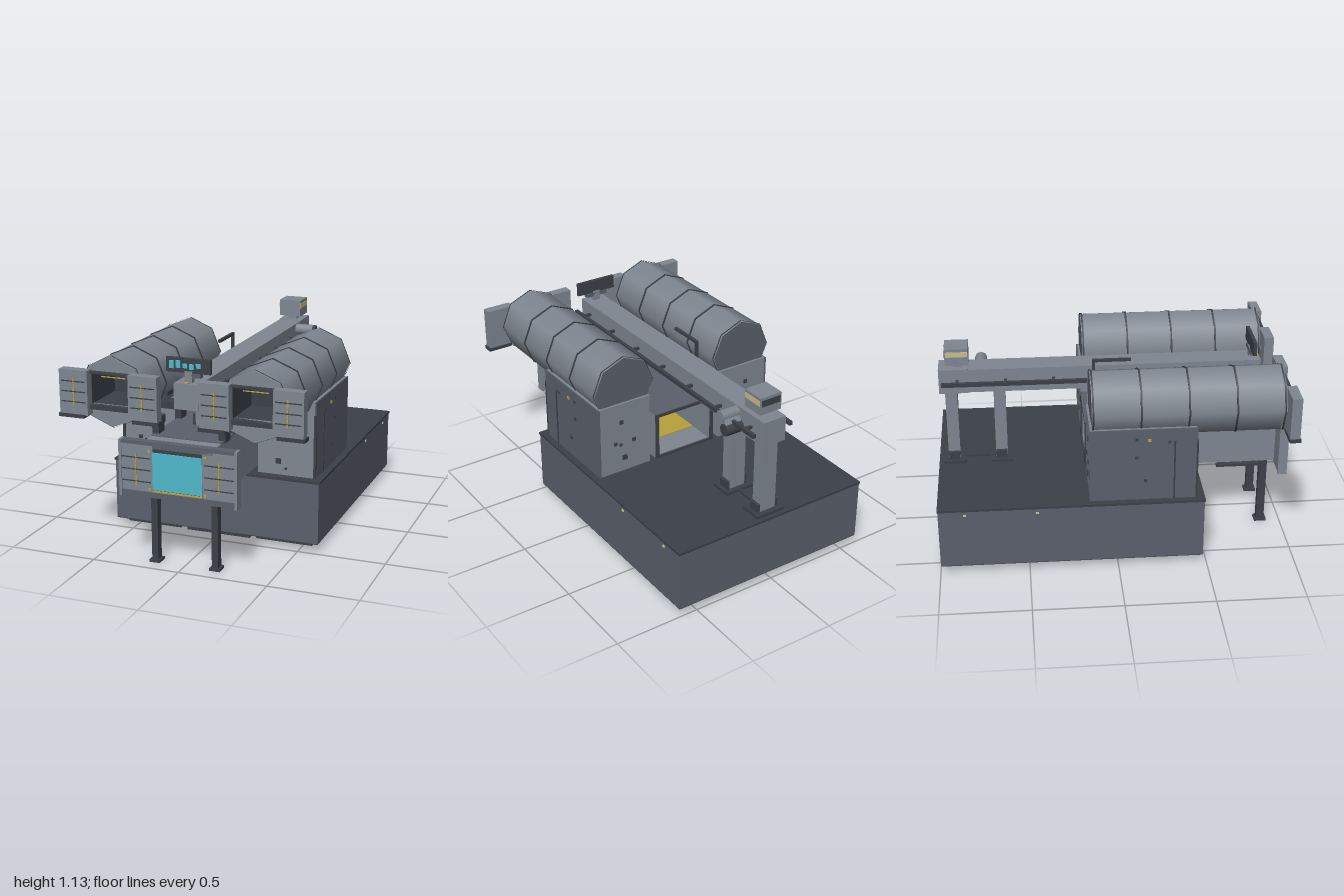
import * as THREE from 'three';

const mat = (name, color) => {
  const m = new THREE.MeshStandardMaterial({ color, side: THREE.DoubleSide });
  m.name = name;
  return m;
};

export function createModel() {
  const light = mat('light steel', 0x7f8791);
  const mid = mat('blue grey', 0x5a606c);
  const dark = mat('dark steel', 0x3c4148);
  const cyan = mat('cyan glow', 0x4fbacb);
  const yellow = mat('hazard yellow', 0xb9a23b);
  const cream = mat('lamp cream', 0xcbbf8c);

  const model = new THREE.Group();
  model.name = 'processingStation';

  const add = (parent, name, geo, m) => {
    const mesh = new THREE.Mesh(geo, m);
    mesh.name = name;
    parent.add(mesh);
    return mesh;
  };
  // Box given by its limits on each axis
  const box = (parent, name, m, x0, x1, y0, y1, z0, z1) => {
    const mesh = add(parent, name, new THREE.BoxGeometry(x1 - x0, y1 - y0, z1 - z0), m);
    mesh.position.set((x0 + x1) / 2, (y0 + y1) / 2, (z0 + z1) / 2);
    return mesh;
  };
  const group = (name) => {
    const g = new THREE.Group();
    g.name = name;
    model.add(g);
    return g;
  };
  // Rectangular or polygonal outline with a rectangular hole, extruded along z
  const frame = (parent, name, m, outline, x0, x1, y0, y1, z0, z1) => {
    const s = new THREE.Shape(outline.map(([x, y]) => new THREE.Vector2(x, y)));
    s.holes.push(new THREE.Path([[x0, y0], [x0, y1], [x1, y1], [x1, y0]].map(([x, y]) => new THREE.Vector2(x, y))));
    const mesh = add(parent, name, new THREE.ExtrudeGeometry(s, { depth: z1 - z0, bevelEnabled: false }), m);
    mesh.position.z = z0;
    return mesh;
  };
  // Door leaf with horizontal grooves and a dashed hazard line
  const door = (parent, x0, x1, y0, y1, z0, z1, dashX) => {
    box(parent, 'doorLeaf', light, x0, x1, y0, y1, z0, z1);
    const h = y1 - y0;
    for (const t of [0.29, 0.52, 0.75]) {
      box(parent, 'doorGroove', dark, x0 + 0.012, x1 - 0.012, y0 + h * t - 0.003, y0 + h * t + 0.003, z1, z1 + 0.003);
    }
    for (let i = 0; i < 6; i++) {
      const y = y0 + h * (0.22 + i * 0.106);
      box(parent, 'doorDash', yellow, dashX - 0.004, dashX + 0.004, y, y + h * 0.075, z1, z1 + 0.005);
    }
  };

  // Base block
  const base = group('base');
  box(base, 'baseBlock', mid, -0.61, 0.61, 0.05, 0.4, -0.997, 0.48);
  box(base, 'baseDeck', dark, -0.615, 0.615, 0.398, 0.411, -1, 0.485);
  box(base, 'baseUnderside', dark, -0.608, 0.608, 0.045, 0.05, -0.995, 0.478);
  box(base, 'centreSkid', dark, -0.19, 0.19, 0.01, 0.045, -0.16, 0.43);
  for (const s of [-1, 1]) {
    const x = s * 0.395;
    box(base, 'sideSkid', dark, x - 0.165, x + 0.165, 0.015, 0.04, -0.16, 0.43);
    box(base, 'sideSkidPad', dark, x - 0.12, x + 0.12, 0.003, 0.046, 0.15, 0.28);
    for (const z of [-0.26, -0.73]) {
      box(base, 'foot', dark, x - 0.1, x + 0.1, 0.004, 0.035, z - 0.06, z + 0.06);
      box(base, 'footNeck', dark, x - 0.07, x + 0.07, 0.03, 0.046, z - 0.04, z + 0.04);
    }
    for (const z of [-0.85, -0.45]) {
      box(base, 'baseMarker', cream, s * 0.612 - 0.004, s * 0.612 + 0.004, 0.368, 0.378, z - 0.008, z + 0.008);
    }
  }

  // Pedestals, tanks and tank doors
  const spots = [[0.43, 0.67, 0.012], [0.47, 0.54, 0.01], [0.435, 0.525, 0.008], [0.35, 0.535, 0.011], [0.41, 0.437, 0.015]];
  const spotsB = [[0.405, 0.665, 0.008], [0.455, 0.63, 0.008], [0.36, 0.49, 0.015], [0.405, 0.45, 0.006]];
  const sideSpots = [[0.17, 0.78, yellow], [0.28, 0.765, dark], [0.1, 0.785, dark], [0.1, 0.675, dark], [0.15, 0.53, dark]];
  for (const s of [-1, 1]) {
    const ped = group(s > 0 ? 'leftPedestal' : 'rightPedestal');
    const pa = Math.min(s * 0.24, s * 0.57), pb = Math.max(s * 0.24, s * 0.57);
    box(ped, 'pedestalBlock', light, pa, pb, 0.41, 0.845, -0.155, 0.43);
    box(ped, 'pedestalSide', mid, s * 0.573 - 0.004, s * 0.573 + 0.004, 0.41, 0.845, -0.16, 0.435);
    box(ped, 'pedestalSeam', dark, s * 0.578 - 0.004, s * 0.578 + 0.004, 0.41, 0.77, 0.306, 0.314);
    box(ped, 'pedestalEdge', dark, s * 0.572 - 0.007, s * 0.572 + 0.007, 0.41, 0.77, 0.43, 0.44);
    for (const [z, y, m] of sideSpots) {
      box(ped, 'sidePort', m, s * 0.577 - 0.004, s * 0.577 + 0.004, y - 0.008, y + 0.008, z - 0.009, z + 0.009);
    }
    for (const [x, y, r] of s < 0 ? spots : spotsB) box(ped, 'frontPort', dark, s * x - r, s * x + r, y - r, y + r, 0.43, 0.436);
    for (const [x, y, r] of spots) box(ped, 'rearPort', dark, s * x - r, s * x + r, y + 0.06 - r, y + 0.06 + r, -0.161, -0.155);

    const tank = group(s > 0 ? 'leftTank' : 'rightTank');
    tank.position.set(s * 0.4, 0.93, 0);
    const shell = add(tank, 'tankShell', new THREE.CylinderGeometry(0.19, 0.19, 1.05, 8, 1, true), light);
    shell.rotation.x = Math.PI / 2;
    shell.position.z = 0.38;
    const rear = add(tank, 'tankRearCap', new THREE.CircleGeometry(0.19, 8, Math.PI / 2), mid);
    rear.rotation.y = Math.PI;
    rear.position.z = -0.142;
    for (let i = 0; i < 5; i++) {
      const hoop = add(tank, 'tankHoop', new THREE.CylinderGeometry(0.195, 0.195, 0.01, 8), dark);
      if (i === 4) hoop.geometry = new THREE.CylinderGeometry(0.195, 0.195, 0.01, 8, 1, true);
      hoop.rotation.x = Math.PI / 2;
      hoop.position.z = -0.136 + i * 0.2605;
      if (i === 0) hoop.geometry = new THREE.CylinderGeometry(0.195, 0.195, 0.01, 8, 1, true);
    }
    const oct = Array.from({ length: 8 }, (_, i) => [0.19 * Math.cos(i * Math.PI / 4), 0.19 * Math.sin(i * Math.PI / 4)]);
    frame(tank, 'tankMouth', light, oct, -0.118, 0.118, -0.07, 0.1, 0.895, 0.915);
    // Dark chamber seen through the mouth
    box(tank, 'chamberBack', dark, -0.118, 0.118, -0.09, 0.1, 0.645, 0.65);
    frame(tank, 'chamberWalls', dark, [[-0.122, -0.094], [0.122, -0.094], [0.122, 0.104], [-0.122, 0.104]], -0.117, 0.117, -0.07, 0.1, 0.65, 0.92);
    box(tank, 'chamberLamp', yellow, -0.07, 0.07, 0.074, 0.079, 0.895, 0.9);
    box(tank, 'doorTopRail', dark, -0.12, 0.12, 0.1, 0.11, 0.915, 0.945);
    box(tank, 'doorBottomRail', dark, -0.12, 0.12, -0.095, -0.07, 0.915, 0.945);
    for (const d of [-1, 1]) {
      const a = Math.min(d * 0.118, d * 0.282), b = Math.max(d * 0.118, d * 0.282);
      door(tank, a, b, -0.125, 0.118, 0.917, 0.973, d * 0.197);
      box(tank, 'doorSill', dark, Math.min(d * 0.14, d * 0.29), Math.max(d * 0.14, d * 0.29), -0.142, -0.122, 0.915, 0.977);
    }
    // Saddles carrying the overhanging tank
    for (const z of [0.5, 0.8]) {
      box(tank, 'saddle', dark, -0.15 * s - 0.085, -0.15 * s + 0.085, -0.175, -0.135, z - 0.04, z + 0.04);
      box(tank, 'saddlePost', dark, -0.21 * s - 0.02, -0.21 * s + 0.02, -0.235, -0.16, z - 0.035, z + 0.035);
    }
  }

  // Central tunnel, open at the back
  const tunnel = group('tunnel');
  const rect = [[-0.2, 0.412], [0.2, 0.412], [0.2, 0.7], [-0.2, 0.7]];
  frame(tunnel, 'tunnelShell', light, rect, -0.17, 0.17, 0.43, 0.675, -0.15, 0.95);
  frame(tunnel, 'tunnelRearFrame', dark, rect, -0.18, 0.18, 0.425, 0.68, -0.16, -0.15);
  box(tunnel, 'tunnelRoof', mid, -0.2, 0.2, 0.7, 0.705, -0.16, 0.87);
  box(tunnel, 'tunnelFloor', yellow, -0.165, 0.165, 0.43, 0.437, 0.0, 0.6);
  // Front panel with screen
  for (const s of [-1, 1]) {
    door(tunnel, Math.min(s * 0.14, s * 0.333), Math.max(s * 0.14, s * 0.333), 0.4, 0.685, 0.945, 0.99, s * 0.235);
    box(tunnel, 'panelPost', light, s * 0.327 - 0.008, s * 0.327 + 0.008, 0.393, 0.705, 0.942, 0.995);
    for (const y of [0.447, 0.655]) box(tunnel, 'screenCorner', yellow, s * 0.158 - 0.007, s * 0.158 + 0.007, y - 0.006, y + 0.006, 0.99, 0.996);
  }
  box(tunnel, 'panelHood', mid, -0.2, 0.2, 0.67, 0.695, 0.87, 0.99);
  box(tunnel, 'panelTopRail', mid, -0.32, 0.32, 0.685, 0.705, 0.945, 0.99);
  box(tunnel, 'panelBottomRail', mid, -0.32, 0.32, 0.4, 0.43, 0.96, 0.996);
  box(tunnel, 'screenBacking', dark, -0.142, 0.142, 0.43, 0.672, 0.95, 0.988);
  box(tunnel, 'screen', cyan, -0.14, 0.14, 0.445, 0.65, 0.988, 0.994);
  box(tunnel, 'screenSill', yellow, -0.14, 0.14, 0.434, 0.441, 0.988, 0.998);

  // Front legs
  const legs = group('frontLegs');
  for (const s of [-1, 1]) {
    const x = s * 0.174;
    box(legs, 'frontLeg', dark, x - 0.018, x + 0.018, 0.01, 0.415, 0.862, 0.908);
    box(legs, 'frontLegFoot', dark, x - 0.03, x + 0.03, 0, 0.014, 0.85, 0.92);
    box(legs, 'legBrace', dark, x - 0.015, x + 0.015, 0.373, 0.388, 0.61, 0.87);
  }

  // Overhead beam, columns and side rails
  const gantry = group('gantry');
  box(gantry, 'beam', light, -0.07, 0.07, 0.86, 1.0, -0.81, 0.862);
  box(gantry, 'beamEnd', light, -0.072, 0.072, 0.857, 1.003, -0.975, -0.81);
  for (const z of [-0.635, -0.91]) {
    box(gantry, 'column', light, -0.05, 0.05, 0.41, 0.86, z - 0.034, z + 0.034);
    box(gantry, 'columnShoe', dark, -0.068, 0.068, 0.41, 0.475, z - 0.032, z + 0.032);
    box(gantry, 'columnPlate', dark, -0.09, 0.09, 0.41, 0.428, z - 0.065, z + 0.065);
  }
  box(gantry, 'frontColumn', light, -0.05, 0.05, 0.7, 0.86, 0.55, 0.62);
  box(gantry, 'frontColumnShoe', dark, -0.068, 0.068, 0.705, 0.765, 0.553, 0.617);
  box(gantry, 'floorCable', dark, -0.012, 0.012, 0.41, 0.425, -0.88, -0.66);
  for (const s of [-1, 1]) {
    box(gantry, 'sideRail', dark, s * 0.121 - 0.01, s * 0.121 + 0.01, 0.922, 0.944, -0.96, 0.845);
    for (let i = 0; i < 7; i++) {
      const z = -0.87 + i * 0.272;
      box(gantry, 'railBracket', dark, s * 0.095 - 0.026, s * 0.095 + 0.026, 0.924, 0.94, z - 0.008, z + 0.008);
    }
  }
  // Bent pipe beside the beam
  box(gantry, 'pipeRiser', dark, -0.124, -0.108, 0.93, 1.06, -0.11, -0.094);
  box(gantry, 'pipeArm', dark, -0.124, -0.108, 1.045, 1.061, -0.11, 0.11);
  // Drive motor
  for (const [y, z, m] of [[0.963, -0.735, light], [0.897, -0.772, dark]]) {
    const motor = add(gantry, 'motorDrum', new THREE.CylinderGeometry(0.035, 0.035, 0.11, 8), m);
    motor.rotation.z = Math.PI / 2;
    motor.position.set(0.123, y, z);
  }
  const yoke = box(gantry, 'motorYoke', light, -0.05, 0.05, -0.04, 0.04, -0.025, 0.025);
  yoke.position.set(0.122, 0.93, -0.753);
  yoke.rotation.x = 0.5;

  // Rear lamp housing
  const lamp = group('rearLamp');
  box(lamp, 'lampNeck', light, -0.03, 0.03, 1.0, 1.03, -0.89, -0.845);
  box(lamp, 'lampHousing', light, -0.068, 0.068, 1.028, 1.128, -0.935, -0.802);
  box(lamp, 'lampBand', cream, -0.071, 0.071, 1.08, 1.11, -0.93, -0.807);
  box(lamp, 'lampRear', dark, -0.06, 0.06, 1.075, 1.112, -0.938, -0.93);

  // Front status display
  const display = group('statusDisplay');
  box(display, 'displayPost', light, -0.022, 0.022, 1.0, 1.06, 0.8, 0.83);
  box(display, 'displayBracket', mid, -0.07, 0.07, 1.028, 1.05, 0.8, 0.83);
  box(display, 'displayBoard', dark, -0.127, 0.124, 1.05, 1.128, 0.805, 0.825);
  [[1.07, 1.112], [1.075, 1.115], [1.076, 1.1], [1.07, 1.1], [1.08, 1.105]].forEach(([a, b], i) => {
    const x = -0.096 + i * 0.038;
    box(display, 'displayBar', cyan, x - 0.013, x + 0.013, a, b, 0.825, 0.83);
  });
  box(display, 'beamLight', yellow, -0.01, 0.01, 1.0, 1.006, 0.84, 0.86);
  return model;
}
